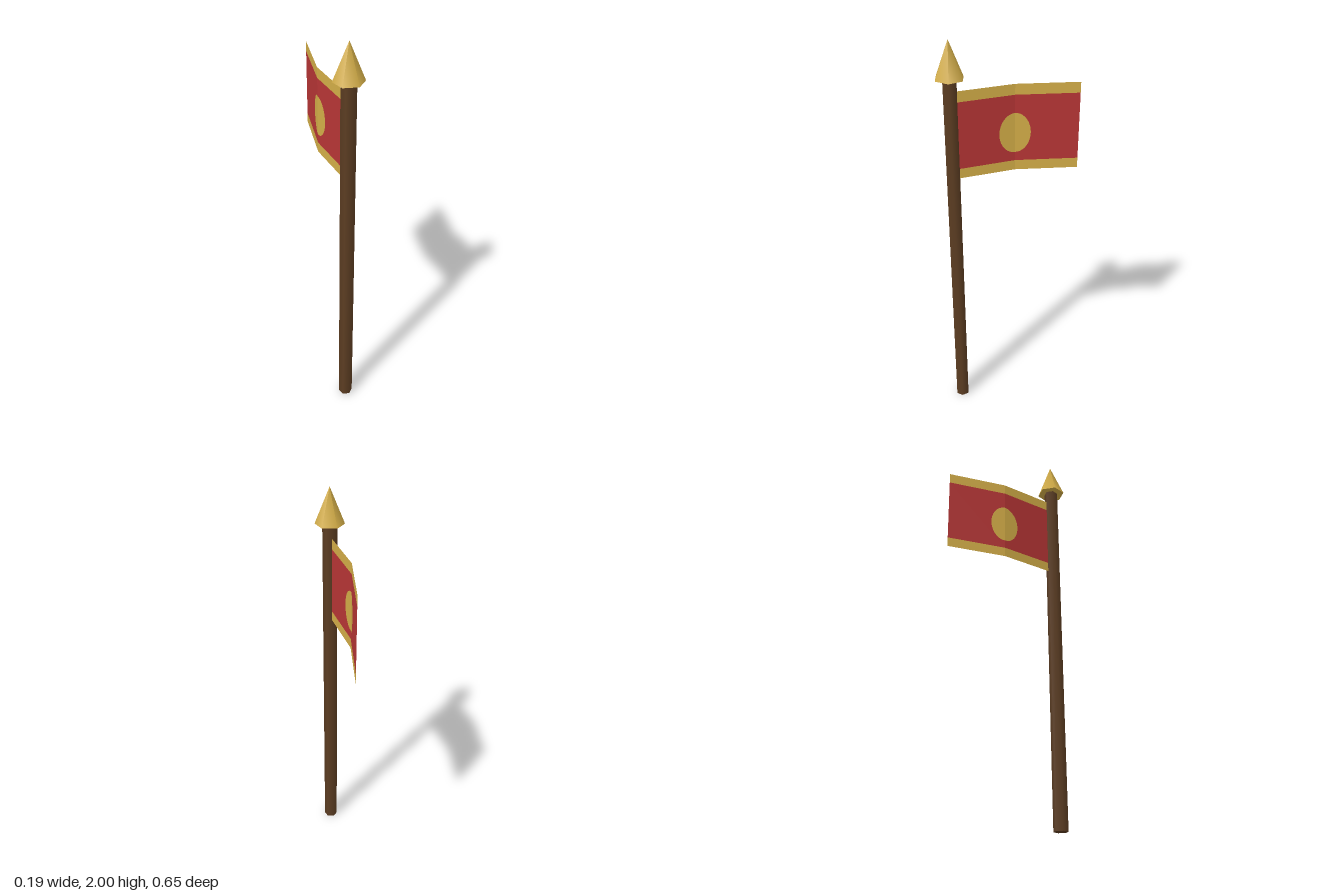
import * as THREE from 'three';

const POLE = { x: 0.0225, z: 0.267 };
const BEND = { x: -0.076, z: -0.024 };
const END = { x: -0.095, z: -0.325 };
const BOTTOM = 1.333, TOP = 1.763, LOWER = 1.382, UPPER = 1.711;
const DISC = { y: 1.524, rz: 0.074, ry: 0.099 };

// Moves a flat (z, y) shape onto the straight cloth panel running from a to b
function panelGeometry(shape, a, b) {
  const geometry = new THREE.ShapeGeometry(shape);
  const p = geometry.attributes.position;
  for (let i = 0; i < p.count; i++) {
    const z = p.getX(i);
    p.setXYZ(i, a.x + (b.x - a.x) * (z - a.z) / (b.z - a.z), p.getY(i), z);
  }
  geometry.computeVertexNormals();
  return geometry;
}

const rectangle = (z0, z1, y0, y1) => new THREE.Shape([
  new THREE.Vector2(z0, y0), new THREE.Vector2(z1, y0),
  new THREE.Vector2(z1, y1), new THREE.Vector2(z0, y1),
]);

// Half of the oval on one side of the fold, listed from its top to its bottom
function halfOval(side) {
  const points = [];
  for (let i = 0; i <= 20; i++) {
    const t = Math.PI * i / 20;
    points.push(new THREE.Vector2(BEND.z + side * DISC.rz * Math.sin(t), DISC.y + DISC.ry * Math.cos(t)));
  }
  return points;
}

export function createModel() {
  const wood = new THREE.MeshStandardMaterial({ name: 'dark wood', color: 0x5c3d22 });
  const gold = new THREE.MeshStandardMaterial({ name: 'gold', color: 0xd4ae48, side: THREE.DoubleSide });
  const red = new THREE.MeshStandardMaterial({ name: 'red cloth', color: 0xb83636, side: THREE.DoubleSide });

  const model = new THREE.Group();
  model.name = 'bannerOnPole';
  const add = (name, geometry, material, parent = model) => {
    const mesh = new THREE.Mesh(geometry, material);
    mesh.name = name;
    parent.add(mesh);
    return mesh;
  };

  // Six-sided pole and spear tip
  const pole = add('pole', new THREE.CylinderGeometry(0.035, 0.035, 1.83, 6), wood);
  pole.position.set(POLE.x, 0.915, POLE.z);
  const tip = add('spearTip', new THREE.ConeGeometry(0.0705, 0.175, 6), gold);
  tip.position.set(POLE.x, 1.9125, POLE.z);
  pole.rotation.y = tip.rotation.y = Math.PI / 6;

  // Flag: two flat panels meeting at a fold through the middle of the oval
  const flag = new THREE.Group();
  flag.name = 'flag';
  model.add(flag);
  const panels = [['inner', POLE, BEND, 1], ['outer', BEND, END, -1]];
  for (const [name, a, b, side] of panels) {
    const far = side > 0 ? a.z : b.z;
    const oval = halfOval(side);
    const field = new THREE.Shape([
      new THREE.Vector2(far, LOWER), new THREE.Vector2(far, UPPER),
      new THREE.Vector2(BEND.z, UPPER), ...oval, new THREE.Vector2(BEND.z, LOWER),
    ]);
    add(name + 'Field', panelGeometry(field, a, b), red, flag);
    add(name + 'OvalHalf', panelGeometry(new THREE.Shape(oval), a, b), gold, flag);
    add(name + 'TopBorder', panelGeometry(rectangle(a.z, b.z, UPPER, TOP), a, b), gold, flag);
    add(name + 'BottomBorder', panelGeometry(rectangle(a.z, b.z, BOTTOM, LOWER), a, b), gold, flag);
  }
  return model;
}
